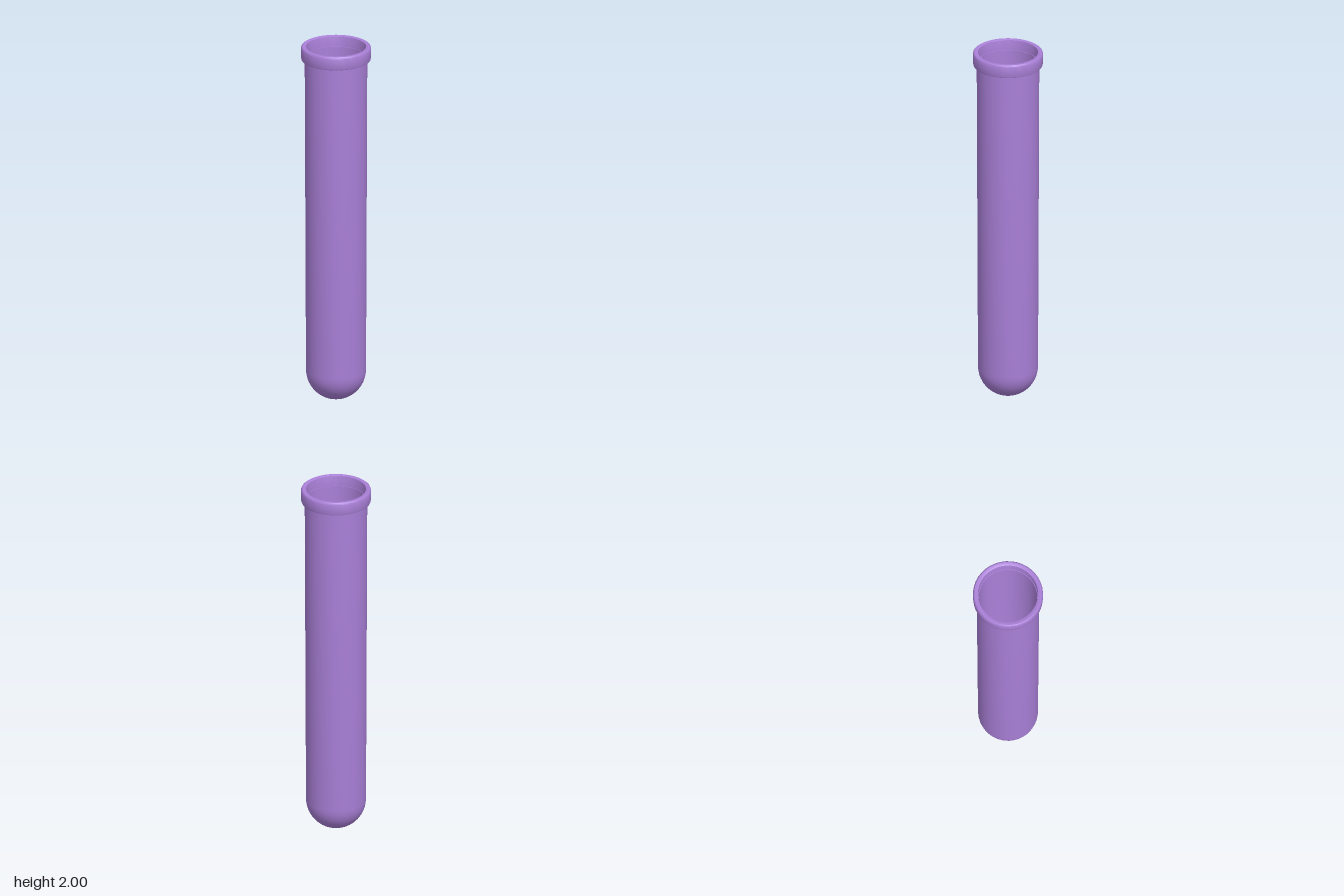
import * as THREE from 'three';
import { toCreasedNormals } from 'three/addons/utils/BufferGeometryUtils.js';

const SEGMENTS = 40;

// Points of a quarter round from the axis (bottom) up to full radius
function roundEnd(radius, bottom, steps = 12) {
  const points = [];
  for (let i = 0; i <= steps; i++) {
    const a = (i / steps) * Math.PI / 2;
    points.push([radius * Math.sin(a), bottom + radius * (1 - Math.cos(a))]);
  }
  return points;
}

function lathe(name, profile, material) {
  const points = profile.map(([r, y]) => new THREE.Vector2(r, y));
  const geometry = toCreasedNormals(new THREE.LatheGeometry(points, SEGMENTS), Math.PI / 5);
  const mesh = new THREE.Mesh(geometry, material);
  mesh.name = name;
  return mesh;
}

export function createModel() {
  const group = new THREE.Group();
  group.name = 'testTube';
  const material = new THREE.MeshStandardMaterial({ color: 0xaa80d8, side: THREE.DoubleSide });

  // Slightly tapered hollow tube: up the outside, over the lip, down the inside
  const outside = [...roundEnd(0.161, 0), [0.168, 1.94]];
  const inside = [...roundEnd(0.15, 0.012), [0.157, 1.94]].reverse();
  group.add(lathe('tube', [...outside, ...inside], material));

  // Collar around the mouth, with softened edges and a small step inside
  group.add(lathe('rim', [
    [0.16, 1.925], [0.181, 1.925], [0.185, 1.927], [0.187, 1.932],
    [0.188, 1.99], [0.186, 1.996], [0.181, 2],
    [0.164, 2], [0.161, 1.998], [0.16, 1.994], [0.16, 1.925],
  ], material));

  return group;
}
